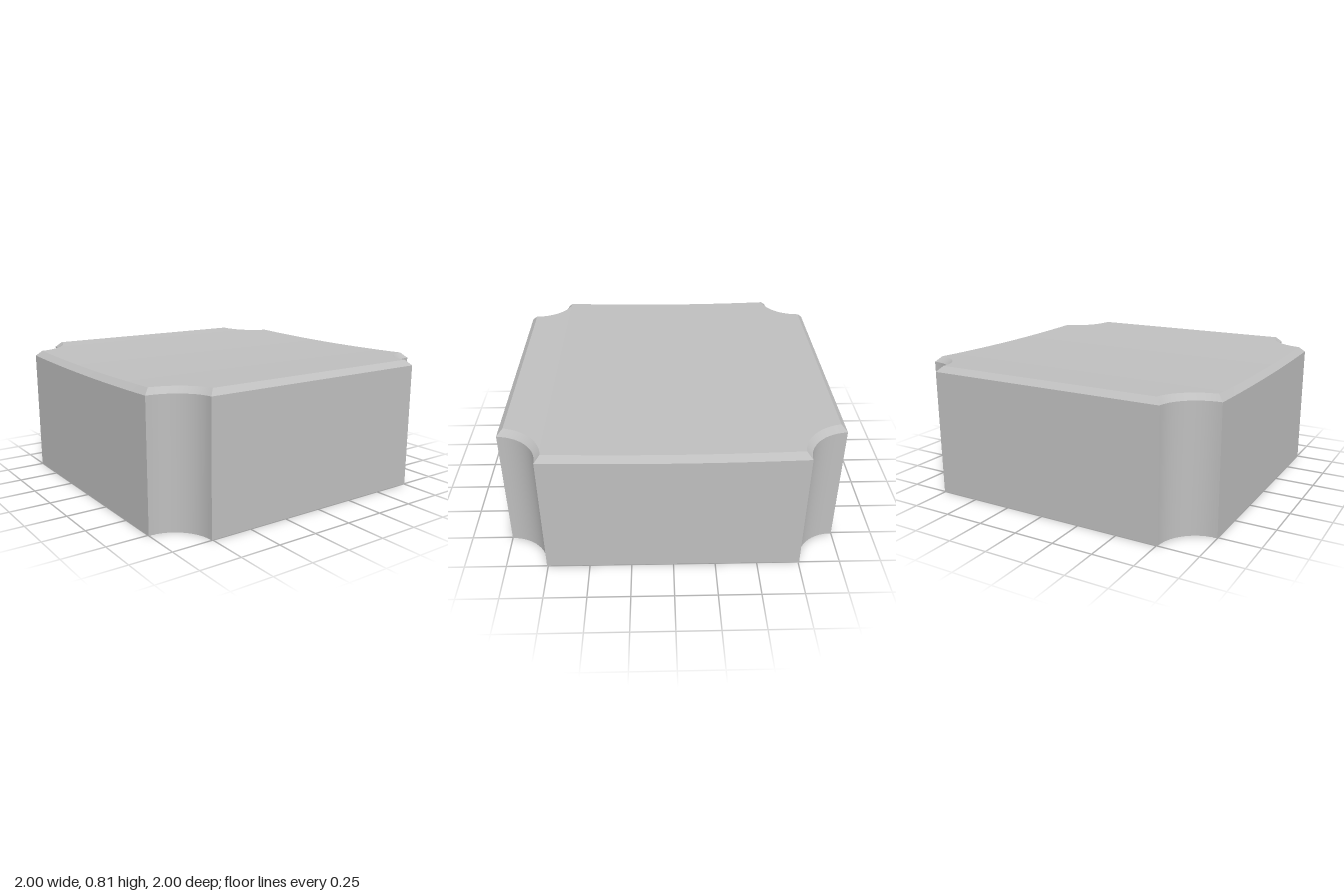
import * as THREE from 'three';
import { toCreasedNormals } from 'three/addons/utils/BufferGeometryUtils.js';

const ARC = 14, STRAIGHT = 12;

// Square outline in x/z with a concave round notch at each corner
// half: half width, c: notch centre on the diagonal, r: notch radius
function notchedSquare(half, c, r) {
  const d = Math.asin((c - half) / r);
  const a0 = -Math.PI / 2 - d, a1 = -Math.PI + d;
  const quarter = [];
  for (let i = 0; i <= ARC; i++) {
    const a = a0 + (a1 - a0) * i / ARC;
    quarter.push([c + r * Math.cos(a), c + r * Math.sin(a)]);
  }
  const m = quarter[ARC][0];
  for (let i = 1; i < STRAIGHT; i++) quarter.push([m - 2 * m * i / STRAIGHT, half]);
  const points = [];
  for (let q = 0; q < 4; q++) {
    for (const [x, z] of quarter) points.push([[x, z], [-z, x], [-x, -z], [z, -x]][q]);
  }
  return points;
}

const ring = (outline, height) => outline.map(([x, z]) => new THREE.Vector3(x, height(x), z));

// Surface strip between two rings of equal length
function loft(lower, upper, closed = true) {
  const pts = [];
  const n = lower.length;
  for (let i = 0; i < (closed ? n : n - 1); i++) {
    const j = (i + 1) % n;
    pts.push(lower[i], upper[i], lower[j], lower[j], upper[i], upper[j]);
  }
  return pts;
}

function surface(pts) {
  return toCreasedNormals(new THREE.BufferGeometry().setFromPoints(pts), 0.5);
}

const toShape = (outline) => new THREE.Shape(outline.map(([x, z]) => new THREE.Vector2(x, z)));

// Plus-shaped outline with arm length l and half arm width w
function cross(l, w) {
  return [[l, -w], [l, w], [w, w], [w, l], [-w, l], [-w, w], [-l, w], [-l, -w],
    [-w, -w], [-w, -l], [w, -l], [w, -w]];
}

export function createModel() {
  const group = new THREE.Group();
  const grey = new THREE.MeshStandardMaterial({ color: 0xbfbfbf });
  grey.name = 'grey plastic';
  const add = (name, geometry, y = 0) => {
    const mesh = new THREE.Mesh(geometry, grey);
    mesh.name = name;
    mesh.position.y = y;
    group.add(mesh);
  };

  // Outer shell: walls, chamfer and top dished along x
  const outer = notchedSquare(1, 1, 0.243);
  const inset = notchedSquare(0.965, 1, 0.278);
  const base = ring(outer, () => 0);
  const shoulder = ring(outer, (x) => 0.757 + 0.021 * x * x);
  const rimTop = ring(inset, (x) => 0.79 + 0.024 * x * x);
  const front = rimTop.slice(0, 2 * ARC + STRAIGHT + 1);
  const back = front.map((p) => new THREE.Vector3(p.x, p.y, -p.z));
  add('outerWalls', surface(loft(base, shoulder)));
  add('chamfer', surface(loft(shoulder, rimTop)));
  add('dishedTop', surface(loft(front, back, false)));

  // Hollow underside
  const ceilingY = 0.675;
  const inner = notchedSquare(0.865, 0.865, 0.122);
  add('innerWalls', surface(loft(ring(inner, () => ceilingY), ring(inner, () => 0))));
  const rim = toShape(outer);
  rim.holes.push(toShape(inner));
  add('bottomRim', new THREE.ShapeGeometry(rim).rotateX(Math.PI / 2));
  add('ceiling', new THREE.ShapeGeometry(toShape(inner)).rotateX(Math.PI / 2), ceilingY);

  // Square mount with a cross socket that widens at its mouth
  const p = 0.35;
  const block = (name, socket, top, bottom) => {
    const shape = toShape([[p, -p], [p, p], [-p, p], [-p, -p]]);
    shape.holes.push(toShape(socket));
    const geometry = new THREE.ExtrudeGeometry(shape, { depth: top - bottom, bevelEnabled: false });
    add(name, geometry.rotateX(Math.PI / 2), top);
  };
  block('mountBlock', cross(0.25, 0.072), ceilingY, 0.487);
  block('mountMouth', cross(0.275, 0.1), 0.487, 0.46);

  return group;
}
